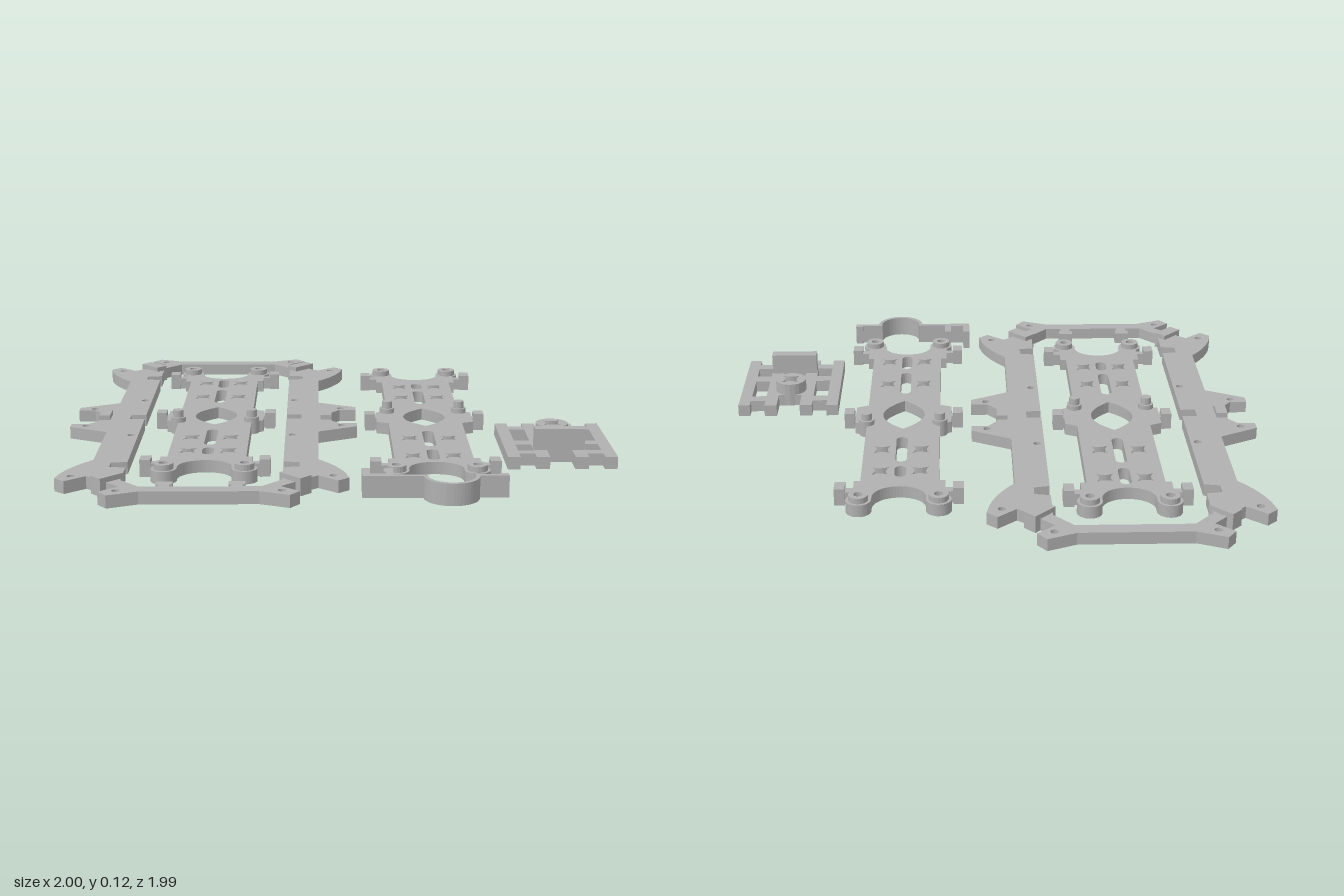
import * as THREE from 'three';

const grey = new THREE.MeshStandardMaterial({ color: 0xb0b0b0 });
grey.name = 'grey plastic';

const T = 0.045;    // plate thickness
const PAD = 0.063;  // height of raised pads

// Outlines are [x, d] pairs, d pointing to the back (z = -d).
function plate(parent, name, pts, holes = [], height = T) {
  const clean = pts.filter((p, i) => {
    const q = pts[(i + 1) % pts.length];
    return Math.hypot(p[0] - q[0], p[1] - q[1]) > 1e-5;
  });
  const shape = new THREE.Shape(clean.map(p => new THREE.Vector2(...p)));
  shape.holes = holes.map(h => new THREE.Path(h.map(p => new THREE.Vector2(...p))));
  const geo = new THREE.ExtrudeGeometry(shape, { depth: height, bevelEnabled: false });
  geo.rotateX(-Math.PI / 2);
  const mesh = new THREE.Mesh(geo, grey);
  mesh.name = name;
  parent.add(mesh);
  return mesh;
}

// Box standing on the ground between x0..x1 and z0..z1
function block(parent, name, x0, x1, z0, z1, height = T) {
  const mesh = new THREE.Mesh(new THREE.BoxGeometry(x1 - x0, height, z1 - z0), grey);
  mesh.position.set((x0 + x1) / 2, height / 2, (z0 + z1) / 2);
  mesh.name = name;
  parent.add(mesh);
  return mesh;
}

function arc(cx, cy, rx, ry, a0, a1, n = 16) {
  return Array.from({ length: n + 1 }, (_, i) => {
    const a = THREE.MathUtils.degToRad(a0 + (a1 - a0) * i / n);
    return [cx + rx * Math.cos(a), cy + ry * Math.sin(a)];
  });
}
const circle = (x, y, r) => arc(x, y, r, r, 0, 360, 20).slice(0, -1);
const bend = (a, c, b, n = 8) => new THREE.QuadraticBezierCurve(
  new THREE.Vector2(...a), new THREE.Vector2(...c), new THREE.Vector2(...b)
).getPoints(n).map(p => [p.x, p.y]);

// Square hole with sides bowed inwards
function star(x, y, s = 0.031) {
  const c = [[s, s], [-s, s], [-s, -s], [s, -s]];
  return c.flatMap((p, i) => {
    const q = c[(i + 1) % 4];
    const m = [(p[0] + q[0]) * 0.17, (p[1] + q[1]) * 0.17];
    return bend(p, m, q, 5).slice(0, -1);
  }).map(p => [p[0] + x, p[1] + y]);
}
const slot = (x, y0, y1, r) => [
  ...arc(x, y1 - r, r, r, 0, 180, 8), ...arc(x, y0 + r, r, r, 180, 360, 8)];
const mirrorX = pts => [...pts, ...pts.slice().reverse().map(([x, y]) => [-x, y])];
const mirrorD = pts => [...pts, ...pts.slice().reverse().map(([x, y]) => [x, -y])];

// Outer frame: two side rails and two end bars
function makeFrame() {
  const g = new THREE.Group();
  g.name = 'frame';
  const rail = mirrorD([
    [0.33, 0], [0.33, 0.03], [0.273, 0.03], [0.273, 0.61], [0.33, 0.62], [0.33, 0.67],
    [0.273, 0.68], [0.273, 0.83], [0.33, 0.83], [0.395, 0.78], [0.463, 0.838], [0.5, 0.805],
    ...bend([0.49, 0.755], [0.465, 0.665], [0.396, 0.585]),
    [0.396, 0.217], [0.543, 0.143], [0.543, 0.1], [0.479, 0.1], [0.446, 0.06], [0.446, 0]]);
  const railHoles = [1, -1].flatMap(k => [[0.3, 0.26], [0.447, 0.778], [0.484, 0.126]]
    .map(([x, d]) => circle(x, k * d, 0.014)));
  const end = mirrorX([
    [0, 0.955], [0.2, 0.955], [0.302, 0.997], [0.334, 0.955], [0.27, 0.9],
    [0.37, 0.8], [0.334, 0.76], [0.205, 0.9], [0, 0.9]]);
  for (const s of [1, -1]) {
    const flip = pts => pts.map(([x, d]) => [s * x, d]);
    const side = s > 0 ? 'left' : 'right';
    plate(g, side + 'Rail', flip(rail), railHoles.map(flip));
    block(g, side + 'RailTab', s * 0.425 - 0.021, s * 0.425 + 0.021, -0.045, 0.045, PAD);

    const turn = pts => pts.map(([x, d]) => [x, s * d]);
    plate(g, s > 0 ? 'backBar' : 'frontBar', turn(end),
      [1, -1].map(k => circle(k * 0.275, s * 0.944, 0.014)));
    // Raised diagonal joint pads
    for (const k of [1, -1]) {
      const pad = block(g, 'jointPad', -0.026, 0.026, -0.051, 0.051, PAD);
      pad.position.set(s * 0.318, PAD / 2, k * 0.816);
      pad.rotation.y = s * k * Math.PI / 4;
    }
    // Clips on the front bar
    block(g, 'frontClip', s * 0.122 - 0.028, s * 0.122 + 0.028, 0.842, 0.875);
    block(g, 'frontClipNeck', s * 0.122 - 0.02, s * 0.122 + 0.02, 0.87, 0.91);
  }
  return g;
}

// Mounting plate with rounded lobes, cut-outs and bosses
function makeMountPlate(name) {
  const g = new THREE.Group();
  g.name = name;
  const quarter = [
    [0.185, 0], [0.185, 0.07], [0.14, 0.09], [0.14, 0.565], [0.163, 0.565], [0.163, 0.67],
    ...arc(0.14, 0.709, 0.045, 0.045, -50, 180, 20),
    ...arc(0, 0.69, 0.095, 0.08, 0, -90, 12)];
  const holes = [bend([0, 0.13], [0.16, 0], [0, -0.13], 16)
    .concat(bend([0, -0.13], [-0.16, 0], [0, 0.13], 16).slice(1, -1))];
  for (const [a, b] of [[0.455, 0.583], [0.203, 0.41], [-0.412, -0.205], [-0.535, -0.45]])
    holes.push(slot(0, a, b, 0.021));
  for (const k of [1, -1]) {
    for (const d of [0.53, 0.3, -0.31, -0.487]) holes.push(star(k * 0.072, d));
    for (const d of [0.709, -0.709]) {
      holes.push(circle(k * 0.14, d, 0.016));
      plate(g, 'lobeRing', circle(k * 0.14, d, 0.035), [circle(k * 0.14, d, 0.016)], PAD + 0.003);
    }
    // Stepped pegs beside the lens opening
    for (const [r, h] of [[0.029, PAD], [0.02, 0.09]]) {
      const peg = new THREE.Mesh(new THREE.CylinderGeometry(r, r, h, 24), grey);
      peg.position.set(k * 0.14, h / 2, 0.078);
      peg.name = 'peg';
      g.add(peg);
    }
    // Side tabs on short necks
    for (const z of [0.637, 0, -0.637]) {
      block(g, 'sideTab', k * 0.209 - 0.019, k * 0.209 + 0.019, z - 0.028, z + 0.028, PAD);
      block(g, 'sideTabNeck', k * 0.178 - 0.02, k * 0.178 + 0.02, z - 0.016, z + 0.016);
    }
  }
  plate(g, 'plateBody', mirrorX(mirrorD(quarter).slice(0, quarter.length))
    .concat(mirrorX(quarter).slice(quarter.length).reverse().map(([x, d]) => [x, -d]).reverse()
      .reverse(), quarter.slice().reverse().map(([x, d]) => [x, -d])), holes);
  return g;
}

// Small ladder-like bracket with a central boss and an upright
function makeBracket() {
  const g = new THREE.Group();
  g.name = 'bracket';
  for (const s of [1, -1]) {
    const bar = (name, a, b, z0, z1) =>
      block(g, name, Math.min(s * a, s * b), Math.max(s * a, s * b), z0, z1);
    bar('outerColumn', 0.15, 0.195, 0.11, 0.565);
    bar('innerColumn', 0.045, 0.093, 0.11, 0.565);
    for (const [z0, z1] of [[0.155, 0.2], [0.35, 0.4], [0.48, 0.52]])
      bar('rung', 0.093, 0.15, z0, z1);
  }
  plate(g, 'bossBridge', [[-0.045, -0.325], [0.045, -0.325], [0.045, -0.21], [-0.045, -0.21]],
    [star(0, -0.267, 0.033)]);
  plate(g, 'boss', circle(0, -0.267, 0.06), [star(0, -0.267, 0.033)], 0.09);
  block(g, 'upright', -0.09, 0.09, 0.432, 0.477, 0.123);
  return g;
}

// Thin spring clip with a round loop
function makeSpringClip(parent) {
  plate(parent, 'springClip', [
    [0.083, -0.8], [0.11, -0.8], [0.11, -0.865], [0.163, -0.865], [0.163, -0.803],
    [0.188, -0.803], [0.188, -0.875], [0.3, -0.875],
    ...arc(0.382, -0.888, 0.08, 0.08, 170, 370, 24),
    [0.545, -0.875], [0.545, -0.865], [0.575, -0.865], [0.575, -0.893], [0.477, -0.893],
    ...arc(0.382, -0.888, 0.095, 0.095, 357, 183, 24), [0.083, -0.893]], [], 0.077);
}

export function createModel() {
  const model = new THREE.Group();
  model.name = 'printedFrameParts';
  const frame = makeFrame();
  frame.position.x = -0.459;
  const inner = makeMountPlate('innerMountPlate');
  inner.position.set(-0.459, 0, -0.019);
  const spare = makeMountPlate('outerMountPlate');
  spare.position.set(0.345, 0, 0.011);
  spare.rotation.y = Math.PI;
  const bracket = makeBracket();
  bracket.position.x = 0.803;
  model.add(frame, inner, spare, bracket);
  makeSpringClip(model);
  return model;
}
